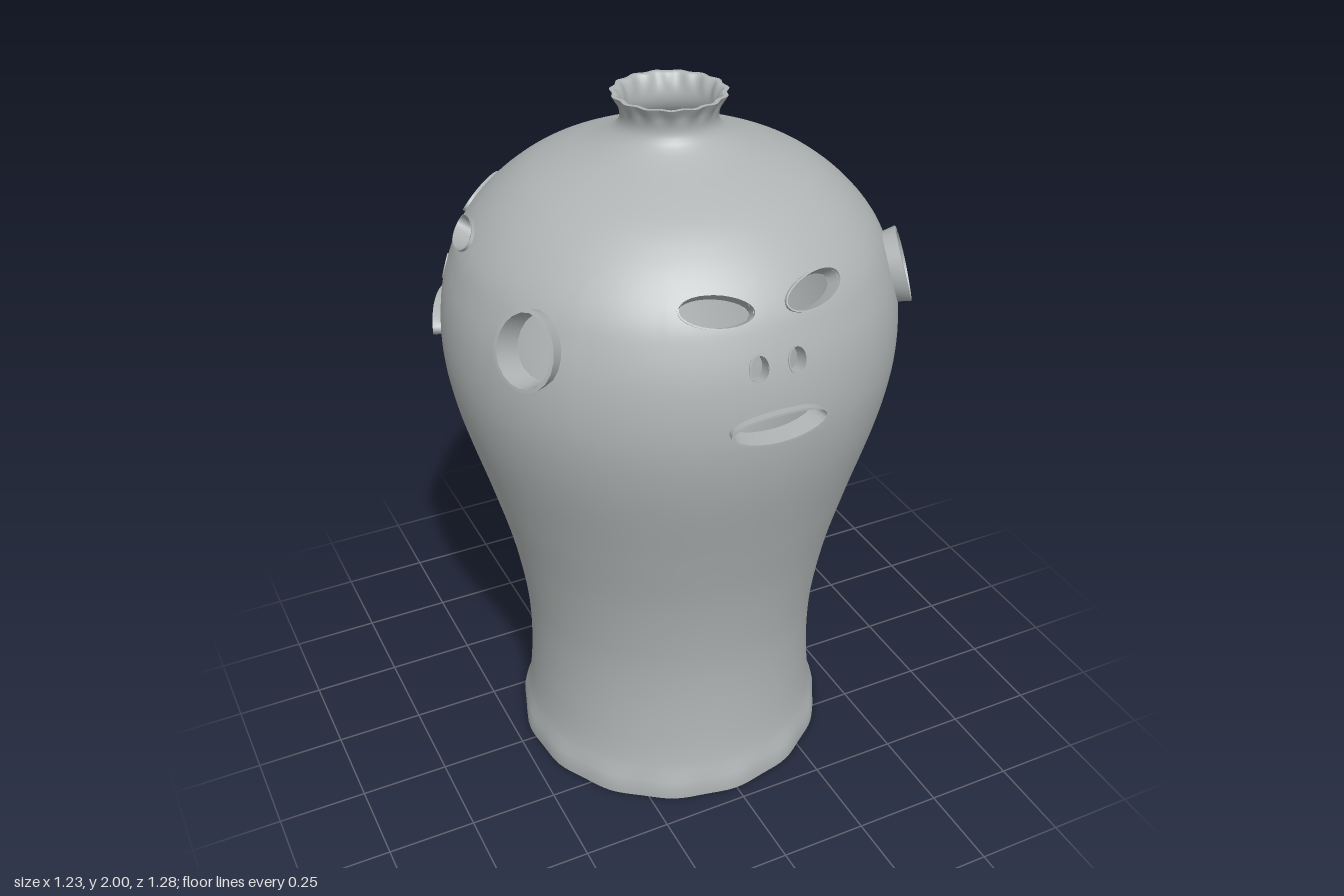
import * as THREE from 'three';
import { mergeVertices } from 'three/addons/utils/BufferGeometryUtils.js';

// Outer profile of the jar: [height, radius]
const PROFILE = [
  [0, 0.455], [0.04, 0.455], [0.1, 0.438], [0.2, 0.426], [0.35, 0.421], [0.5, 0.43],
  [0.7, 0.464], [0.9, 0.516], [1.1, 0.574], [1.2, 0.598], [1.3, 0.613], [1.4, 0.614],
  [1.5, 0.6], [1.6, 0.567], [1.65, 0.54], [1.7, 0.5], [1.75, 0.447], [1.8, 0.375],
  [1.84, 0.285], [1.87, 0.205], [1.9, 0.148], [1.93, 0.127], [1.97, 0.132], [2, 0.148],
];

// Smooth (Hermite) radius at height y
function radius(y) {
  const P = PROFILE, n = P.length;
  let i = 0;
  while (i < n - 2 && y > P[i + 1][0]) i++;
  const slope = (k) => {
    const a = P[Math.max(k - 1, 0)], b = P[Math.min(k + 1, n - 1)];
    return (b[1] - a[1]) / (b[0] - a[0]);
  };
  const h = P[i + 1][0] - P[i][0], t = (y - P[i][0]) / h, s = 1 - t;
  return P[i][1] * (1 + 2 * t) * s * s + P[i + 1][1] * t * t * (3 - 2 * t)
    + h * (slope(i) * t * s * s - slope(i + 1) * t * t * s);
}

// Wall gets thinner at the neck
const wall = (y) => THREE.MathUtils.lerp(0.035, 0.013, THREE.MathUtils.smoothstep(y, 1.8, 1.93));

// Point at angle (degrees from the front), height y and distance d off the outer skin
function skin(deg, y, d = 0) {
  const e = 0.004, y0 = Math.max(0, y - e), y1 = Math.min(2, y + e);
  const m = (radius(y1) - radius(y0)) / (y1 - y0), len = Math.hypot(1, m);
  const a = THREE.MathUtils.degToRad(deg);
  // faint hand-pinched scallops on the lip and foot
  const pinch = 0.004 * THREE.MathUtils.smoothstep(y, 1.95, 1.99)
    + 0.003 * (1 - THREE.MathUtils.smoothstep(y, 0.03, 0.09));
  const r = radius(y) + d / len + pinch * Math.cos(a * 15);
  return new THREE.Vector3(Math.sin(a) * r, THREE.MathUtils.clamp(y - d * m / len, 0, 2), Math.cos(a) * r);
}

// Adds an nu x nv sheet of quads to a triangle list
function sheet(out, nu, nv, point, flip = false) {
  for (let i = 0; i < nu; i++) for (let j = 0; j < nv; j++) {
    const a = point(i, j), b = point(i + 1, j), c = point(i + 1, j + 1), d = point(i, j + 1);
    for (const p of flip ? [a, c, b, a, d, c] : [a, b, c, a, c, d]) out.push(p.x, p.y, p.z);
  }
}

function toMesh(name, positions, material) {
  let g = new THREE.BufferGeometry();
  g.setAttribute('position', new THREE.Float32BufferAttribute(positions, 3));
  g = mergeVertices(g, 1e-5);
  g.computeVertexNormals();
  const mesh = new THREE.Mesh(g, material);
  mesh.name = name;
  return mesh;
}

const STEP = 3, ROW = 0.02;

// Openings of one sector: cell bounds, centre, half sizes, tilt and raised rim
const OPENINGS = [
  { name: 'mouth', cell: [-15, 15, 1.3, 1.44], at: [-0.3, 1.362], half: [11.6, 0.036], tilt: 0, lip: 0.022, rim: 0.006 },
  { name: 'rightNostril', cell: [-9, 0, 1.44, 1.58], at: [-5, 1.517], half: [2.3, 0.032], tilt: 0, lip: 0.003, rim: 0.003 },
  { name: 'leftNostril', cell: [0, 9, 1.44, 1.58], at: [5, 1.517], half: [2.3, 0.032], tilt: 0, lip: 0.003, rim: 0.003 },
  { name: 'rightEye', cell: [-27, 0, 1.58, 1.72], at: [-14.2, 1.652], half: [9.6, 0.032], tilt: -0.008, lip: 0.008, rim: 0.004 },
  { name: 'leftEye', cell: [0, 27, 1.58, 1.72], at: [14.2, 1.652], half: [9.6, 0.032], tilt: 0.008, lip: 0.008, rim: 0.004 },
  { name: 'ear', cell: [48, 72, 1.3, 1.72], at: [60, 1.531], half: [7.4, 0.085], tilt: 0, lip: 0.036, rim: 0.009 },
];
// Plain cells filling the rest of the band in one sector
const PLAIN = [
  [-48, -15, 1.3, 1.44], [15, 48, 1.3, 1.44], [-48, -9, 1.44, 1.58],
  [9, 48, 1.44, 1.58], [-48, -27, 1.58, 1.72], [27, 48, 1.58, 1.72],
];

// Point on an opening's edge, widened by grow
function edge(o, phi, grow = 0) {
  const c = Math.cos(phi), s = Math.sin(phi);
  return [o.at[0] + (o.half[0] + grow * 100) * c, o.at[1] + (o.half[1] + grow) * s + o.tilt * c];
}

// Grid points around a cell, counter-clockwise
function perimeter([a0, a1, y0, y1]) {
  const nu = Math.round((a1 - a0) / STEP), nv = Math.round((y1 - y0) / ROW), pts = [];
  for (let i = 0; i < nu; i++) pts.push([a0 + i * STEP, y0]);
  for (let j = 0; j < nv; j++) pts.push([a1, y0 + j * ROW]);
  for (let i = 0; i < nu; i++) pts.push([a1 - i * STEP, y1]);
  for (let j = 0; j < nv; j++) pts.push([a0, y1 - j * ROW]);
  return pts;
}

// One skin of the jar: inside or outside, with all openings cut
function jarSkin(inside) {
  const out = [];
  const at = (deg, y) => skin(deg, y, inside ? -wall(y) : 0);
  const plain = (a0, a1, y0, y1, nv) => sheet(out, Math.round((a1 - a0) / STEP), nv,
    (i, j) => at(a0 + i * STEP, y0 + (y1 - y0) * j / nv), inside);
  plain(0, 360, 0, 1.3, 44);
  plain(0, 360, 1.72, 2, 28);
  for (const turn of [0, 120, 240]) {
    for (const [a0, a1, y0, y1] of PLAIN) plain(a0 + turn, a1 + turn, y0, y1, 7);
    for (const o of OPENINGS) {
      const pts = perimeter(o.cell), n = pts.length, rings = 5;
      sheet(out, n, rings, (i, j) => {
        const p = pts[i % n], k = j / rings;
        const q = edge(o, Math.atan2((p[1] - o.at[1]) / o.half[1], (p[0] - o.at[0]) / o.half[0]));
        return at(turn + p[0] + (q[0] - p[0]) * k, p[1] + (q[1] - p[1]) * k);
      }, inside);
    }
  }
  return out;
}

export function createModel() {
  const clay = new THREE.MeshStandardMaterial({ color: 0xb0b4b4, side: THREE.DoubleSide });
  clay.name = 'grey clay';
  const model = new THREE.Group();
  model.name = 'faceJar';

  model.add(toMesh('outerWall', jarSkin(false), clay), toMesh('innerWall', jarSkin(true), clay));

  // Flat rings closing the wall at the foot and the mouth of the neck
  for (const [name, y] of [['footRing', 0], ['neckRing', 2]]) {
    const out = [];
    sheet(out, 360 / STEP, 1, (i, j) => skin(i * STEP, y, -wall(y) * j), y === 0);
    model.add(toMesh(name, out, clay));
  }

  // Raised collars lining every opening, on three faces with ears between them
  for (const turn of [0, 120, 240]) {
    const face = new THREE.Group();
    face.name = 'face' + (turn / 120 + 1);
    for (const o of OPENINGS) {
      const collar = new THREE.Group(), n = o.name === 'ear' ? 20 : 28;
      collar.name = o.name;
      const path = [[o.rim, -0.006], [o.rim, o.lip], [0, o.lip], [0, -0.036]];
      ['outside', 'rim', 'lining'].forEach((part, k) => {
        const out = [];
        sheet(out, n, 1, (i, j) => {
          const [grow, d] = path[k + j];
          const [a, y] = edge(o, (i % n) / n * Math.PI * 2, grow);
          return skin(a + turn, y, d);
        });
        collar.add(toMesh(o.name + ' ' + part, out, clay));
      });
      face.add(collar);
    }
    model.add(face);
  }
  return model;
}
